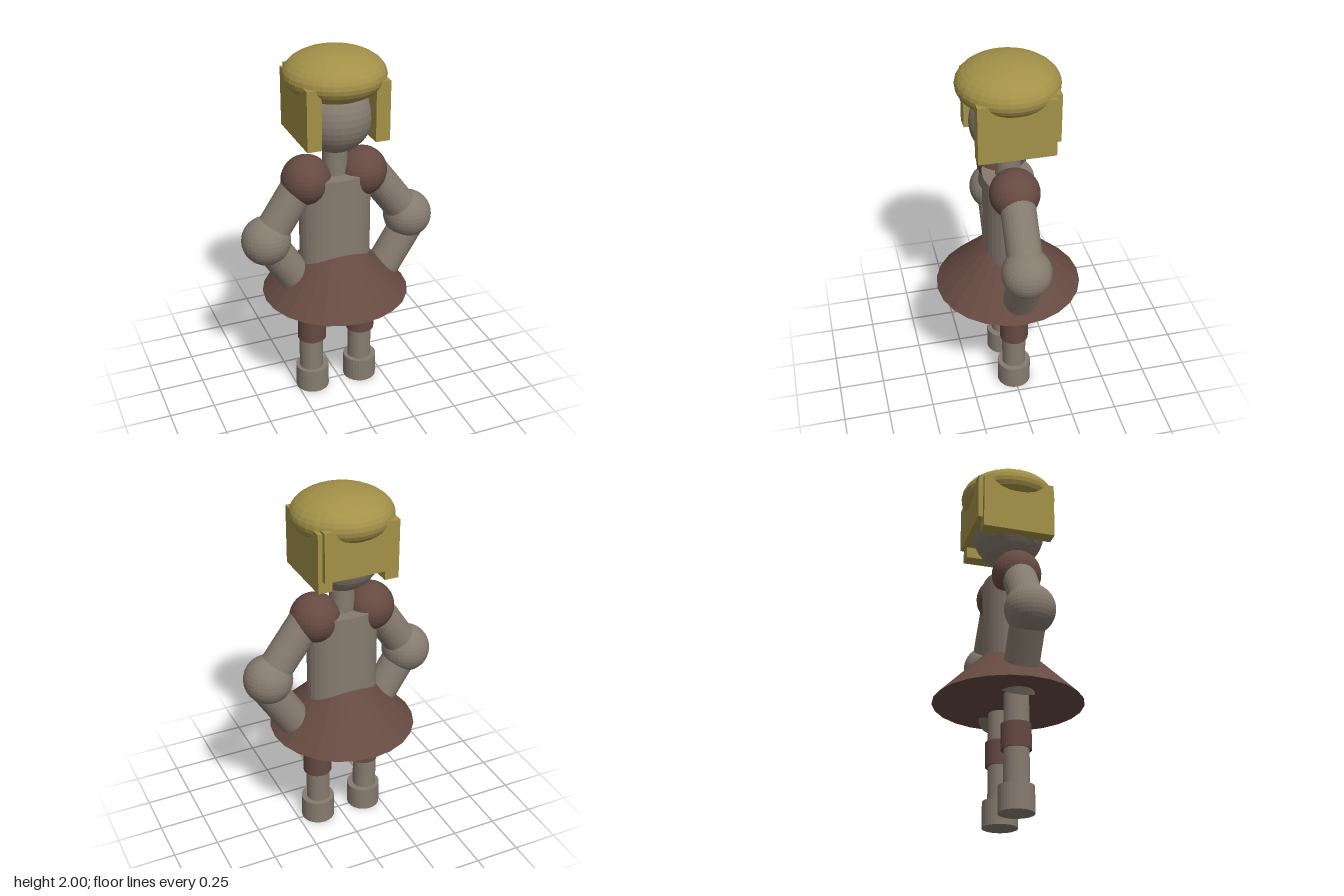
import * as THREE from 'three';

export function createModel() {
  const model = new THREE.Group();
  model.name = 'figure';

  const material = (name, color) => {
    const m = new THREE.MeshStandardMaterial({ color });
    m.name = name;
    return m;
  };
  const skin = material('warm grey', 0x867b6f);
  const cloth = material('dark brown', 0x664a42);
  const blond = material('mustard yellow', 0xa39148);

  // Faceted mesh helper
  const add = (name, geometry, mat, x, y, z = 0) => {
    const flat = geometry.toNonIndexed();
    flat.computeVertexNormals();
    const mesh = new THREE.Mesh(flat, mat);
    mesh.name = name;
    mesh.position.set(x, y, z);
    model.add(mesh);
    return mesh;
  };
  const ball = (name, r, mat, x, y) =>
    add(name, new THREE.SphereGeometry(r, 32, 18), mat, x, y);
  // Upright cylinder between two heights
  const post = (name, r, y0, y1, mat, x) =>
    add(name, new THREE.CylinderGeometry(r, r, y1 - y0, 32), mat, x, (y0 + y1) / 2);
  // Cylinder between two points in the front plane
  const limb = (name, [x0, y0], [x1, y1], r) => {
    const d = new THREE.Vector3(x1 - x0, y1 - y0, 0);
    const mesh = add(name, new THREE.CylinderGeometry(r, r, d.length(), 32), skin,
      (x0 + x1) / 2, (y0 + y1) / 2);
    mesh.quaternion.setFromUnitVectors(new THREE.Vector3(0, 1, 0), d.normalize());
  };

  const cx = -0.022; // body axis

  // Head and neck
  ball('head', 0.2, skin, cx, 1.65);
  post('neck', 0.066, 1.28, 1.5, skin, cx);

  // Hair: flattened cap, two side panels and a back panel
  ball('hairCap', 0.266, blond, cx, 1.868).scale.y = 0.132 / 0.266;
  for (const [side, s] of [['left', 1], ['right', -1]]) {
    add(side + 'HairPanel', new THREE.BoxGeometry(0.077, 0.318, 0.4), blond, cx + s * 0.183, 1.709);
  }
  add('backHairPanel', new THREE.BoxGeometry(0.395, 0.265, 0.077), blond, cx, 1.746, -0.188);

  // Oval torso and cone skirt
  post('torso', 0.198, 0.7, 1.328, skin, cx).scale.z = 0.134 / 0.198;
  add('skirt', new THREE.ConeGeometry(0.4, 0.4, 24), cloth, cx, 0.82);

  // Arms, hands on hips
  const arms = [
    { side: 'left', shoulder: [0.134, 1.307], top: [0.177, 1.306], elbow: [0.405, 0.998],
      fore: [0.435, 0.98], hand: [0.208, 0.613] },
    { side: 'right', shoulder: [-0.182, 1.307], top: [-0.2, 1.31], elbow: [-0.41, 0.99],
      fore: [-0.41, 0.99], hand: [-0.183, 0.633] },
  ];
  for (const a of arms) {
    ball(a.side + 'Shoulder', 0.133, cloth, ...a.shoulder);
    limb(a.side + 'UpperArm', a.top, a.elbow, 0.092);
    ball(a.side + 'Elbow', 0.132, skin, ...a.elbow);
    limb(a.side + 'Forearm', a.fore, a.hand, 0.092);
  }

  // Legs with knee bands and feet
  for (const [side, leg, band] of [['left', 0.126, 0.129], ['right', -0.167, -0.161]]) {
    post(side + 'Leg', 0.066, 0.1, 0.7, skin, leg);
    post(side + 'KneeBand', 0.079, 0.325, 0.458, cloth, band);
    post(side + 'Foot', 0.093, 0, 0.137, skin, band);
  }

  return model;
}
